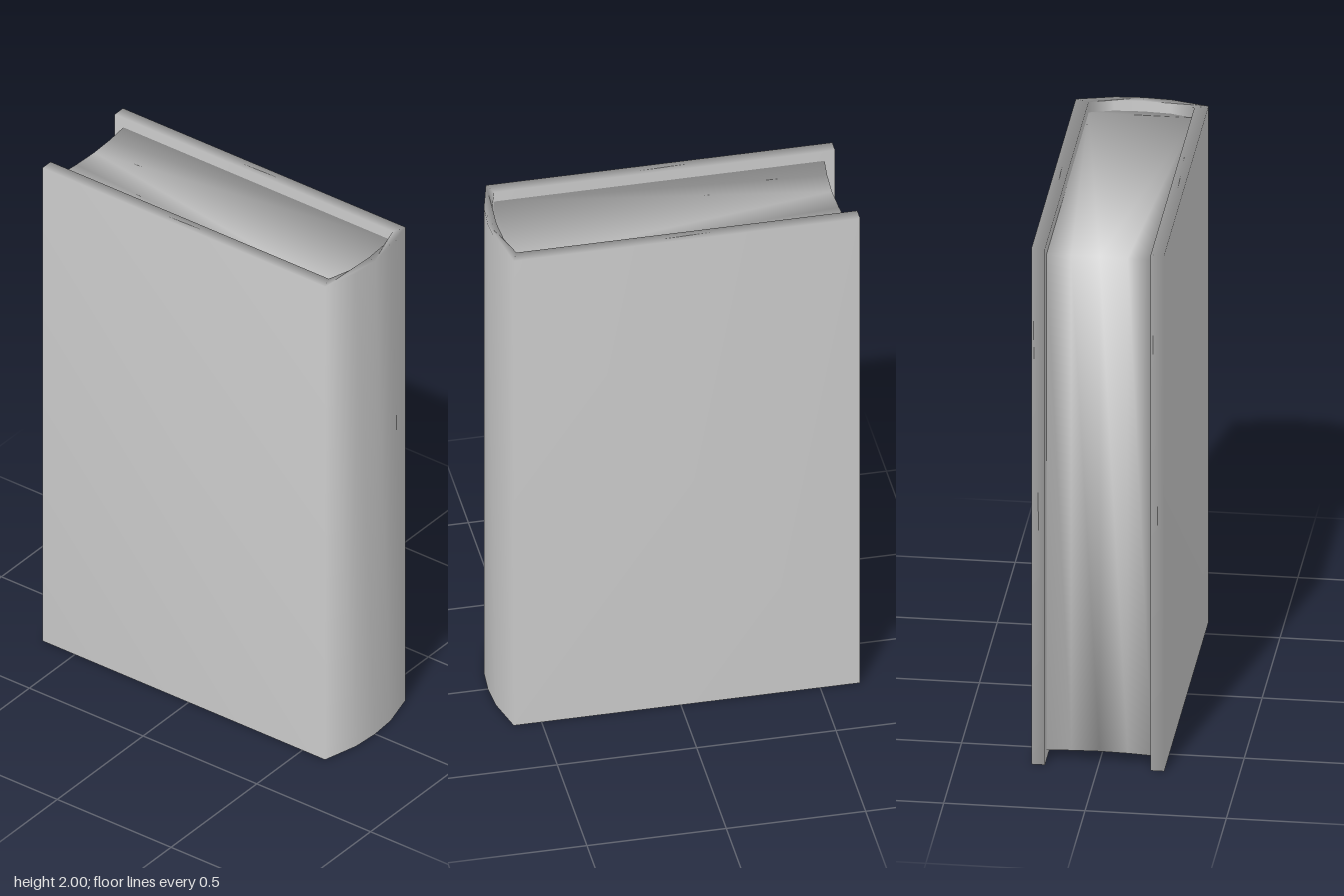
import * as THREE from 'three';
import { mergeVertices } from 'three/addons/utils/BufferGeometryUtils.js';

// Upright solid from an outline of [x, z] points, with softly shaded shared corners
function prism(outline, y0, y1) {
  const shape = new THREE.Shape(outline.map(([x, z]) => new THREE.Vector2(x, -z)));
  const extruded = new THREE.ExtrudeGeometry(shape, { depth: y1 - y0, bevelEnabled: false });
  extruded.rotateX(-Math.PI / 2).translate(0, y0, 0);
  extruded.deleteAttribute('normal');
  extruded.deleteAttribute('uv');
  const geometry = mergeVertices(extruded, 1e-4);
  geometry.computeVertexNormals();
  return geometry;
}

// Symmetric curve from -x to +x, given its right half from the middle outwards
const mirrored = (half) => [
  ...half.slice(1).reverse().map(([x, z]) => [-x, z]),
  ...half,
];

export function createModel() {
  const book = new THREE.Group();
  book.name = 'book';
  const grey = new THREE.MeshStandardMaterial({ color: 0xcccccc });
  grey.name = 'light grey';

  const height = 2, recess = 0.04, back = -0.643;
  const outerSpine = mirrored([[0, 0.643], [0.1, 0.636], [0.235, 0.6]]);
  const innerSpine = mirrored([[0, 0.612], [0.1, 0.606], [0.187, 0.58]]);
  const foreEdge = mirrored([[0, -0.592], [0.1, -0.596], [0.187, -0.605]]);

  // Cover: two boards joined by the rounded spine
  const cover = new THREE.Mesh(prism([
    [-0.235, back], ...outerSpine, [0.235, back],
    [0.187, back], ...innerSpine.slice().reverse(), [-0.187, back],
  ], 0, height), grey);
  cover.name = 'cover';

  // Pages: slightly shorter block with a hollow fore edge
  const pages = new THREE.Mesh(
    prism([...innerSpine, ...foreEdge.slice().reverse()], recess, height - recess), grey);
  pages.name = 'pages';

  book.add(cover, pages);
  return book;
}
